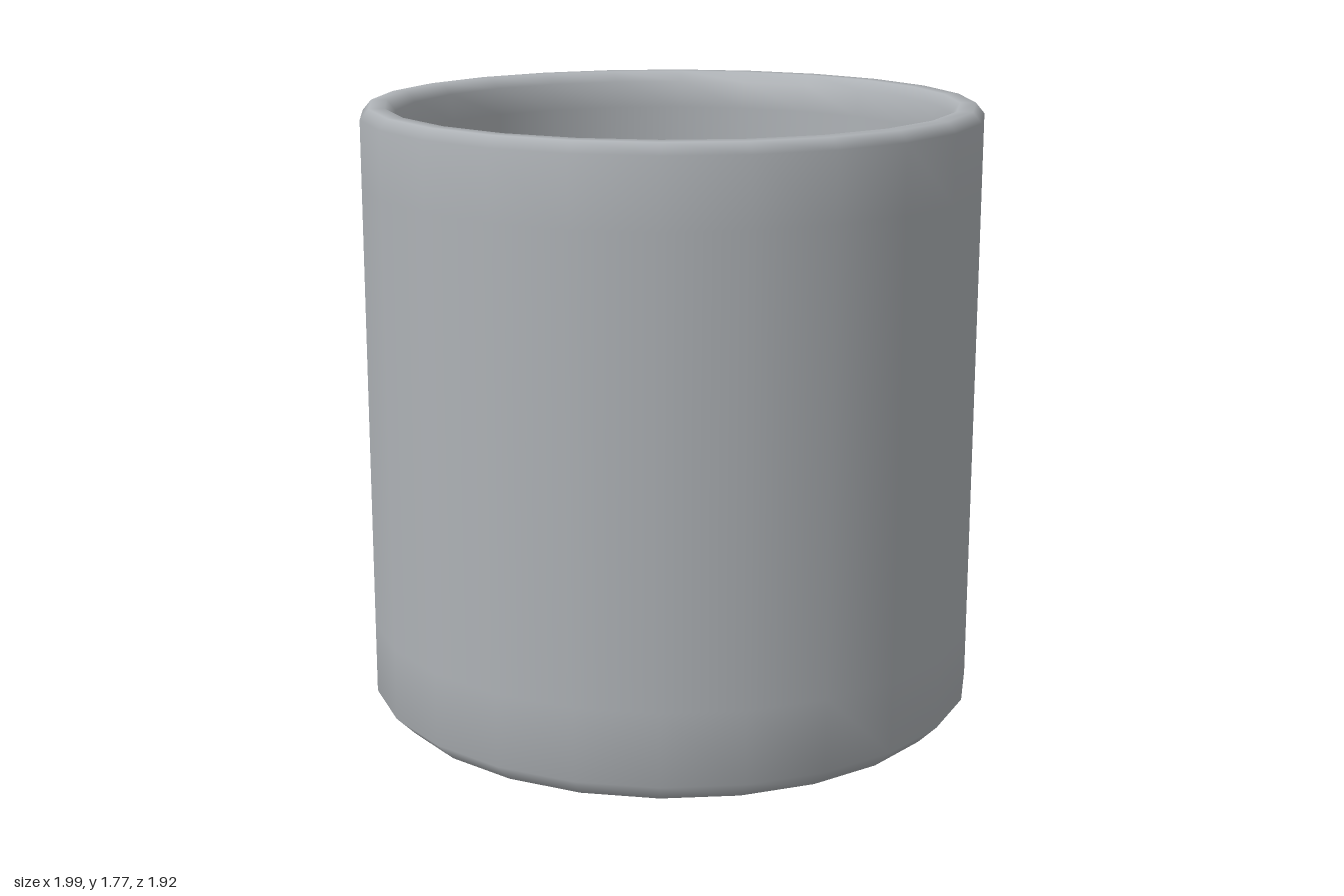
import * as THREE from 'three';

const CX = 0.115, CZ = 0.075;   // axis of the cup
const SIDES = 24, LIQUID_Y = 1.32;

function paint(name, hex, doubleSided = false) {
  const m = new THREE.MeshStandardMaterial({ color: hex });
  m.name = name;
  if (doubleSided) m.side = THREE.DoubleSide;
  return m;
}

function addPart(parent, name, geometry, material) {
  const mesh = new THREE.Mesh(geometry, material);
  mesh.name = name;
  parent.add(mesh);
  return mesh;
}

// Cup wall, rim, inside and base in one revolved profile
function cupGeometry() {
  const profile = [
    [0, 0], [0.79, 0], [0.83, 0.005], [0.885, 0.06], [0.885, 0.27], [0.885, 1.55], [0.885, 1.74],
    [0.86, 1.77], [0.815, 1.77], [0.79, 1.74], [0.78, 1.66], [0.78, 0.15], [0.74, 0.1], [0, 0.1],
  ].map(([r, y]) => new THREE.Vector2(r, y));
  return new THREE.LatheGeometry(profile, SIDES);
}

// Faceted handle: chamfered cross-sections between an outer and an inner line
function handleGeometry() {
  // outer r, outer y, inner r, inner y, half width
  const stations = [
    [0.83, 1.52, 0.83, 1.30, 0.17],
    [1.17, 1.52, 1.10, 1.31, 0.135],
    [1.30, 1.45, 1.18, 1.27, 0.145],
    [1.385, 1.31, 1.22, 1.18, 0.15],
    [1.405, 0.65, 1.22, 0.74, 0.15],
    [1.30, 0.47, 1.17, 0.62, 0.145],
    [1.16, 0.36, 1.08, 0.56, 0.135],
    [0.83, 0.345, 0.83, 0.56, 0.17],
  ];
  const section = [[0, 0.7], [0.25, 1], [0.75, 1], [1, 0.7], [1, -0.7], [0.75, -1], [0.25, -1], [0, -0.7]];
  const n = section.length, positions = [], index = [];
  stations.forEach(([ro, yo, ri, yi, w], s) => {
    section.forEach(([t, side], k) => {
      positions.push(ro + (ri - ro) * t, yo + (yi - yo) * t, w * side);
      if (s === stations.length - 1) return;
      const a = s * n + k, b = s * n + (k + 1) % n;
      index.push(a, b, b + n, a, b + n, a + n);
    });
  });
  const g = new THREE.BufferGeometry();
  g.setAttribute('position', new THREE.Float32BufferAttribute(positions, 3));
  g.setIndex(index);
  const flat = g.toNonIndexed();
  flat.computeVertexNormals();
  return flat;
}

// Flat patch with a soft outline given as x, z points
function patchGeometry(points) {
  const curve = new THREE.CatmullRomCurve3(points.map(([x, z]) => new THREE.Vector3(x, -z, 0)), true);
  const outline = curve.getPoints(points.length * 4).slice(0, -1);
  const shape = new THREE.Shape(outline.map((p) => new THREE.Vector2(p.x, p.y)));
  return new THREE.ShapeGeometry(shape).rotateX(-Math.PI / 2);
}

// Stain strip that follows the faceted inner wall; heights by angle in degrees
function stainGeometry() {
  const heights = [
    [218, 0], [226, 0.11], [240, 0.14], [260, 0.18], [283, 0.17], [327, 0.14], [345, 0.13], [360, 0.13],
    [383, 0.11], [392, 0.06], [410, 0.075], [422, 0.09], [440, 0.07], [455, 0.06], [470, 0],
  ];
  const curve = new THREE.SplineCurve(heights.map(([a, h]) => new THREE.Vector2(a, h)));
  const step = 360 / SIDES, half = THREE.MathUtils.degToRad(step / 2);
  const positions = [], index = [], count = 140;
  for (let i = 0; i <= count; i++) {
    const p = curve.getPoint(i / count);
    const a = THREE.MathUtils.degToRad(p.x);
    const r = 0.775 * Math.cos(half) / Math.cos(THREE.MathUtils.degToRad(p.x % step) - half);
    const x = r * Math.sin(a), z = r * Math.cos(a);
    positions.push(x, LIQUID_Y - 0.01, z, x, LIQUID_Y + Math.max(p.y, 0), z);
    if (i < count) index.push(2 * i, 2 * i + 1, 2 * i + 2, 2 * i + 1, 2 * i + 3, 2 * i + 2);
  }
  const g = new THREE.BufferGeometry();
  g.setAttribute('position', new THREE.Float32BufferAttribute(positions, 3));
  g.setIndex(index);
  g.computeVertexNormals();
  return g;
}

export function createModel() {
  const ceramic = paint('grey ceramic', 0xaeb2b6);
  const coffee = paint('dark coffee', 0x5c3422);
  const froth = paint('light froth', 0x896450);
  const residue = paint('coffee residue', 0x7f635d, true);

  const model = new THREE.Group();
  model.name = 'mug';

  // Cup, handle and contents share the cup's axis
  const cup = new THREE.Group();
  cup.name = 'cup';
  cup.position.set(CX, 0, CZ);
  model.add(cup);
  addPart(cup, 'cupBody', cupGeometry(), ceramic);
  const handle = addPart(cup, 'handle', handleGeometry(), ceramic);
  handle.rotation.y = Math.atan2(0.677, -0.735);
  const liquid = addPart(cup, 'liquid', new THREE.CircleGeometry(0.782, SIDES).rotateX(-Math.PI / 2), coffee);
  liquid.position.y = LIQUID_Y;
  addPart(cup, 'wallStain', stainGeometry(), residue);

  // Froth floating on the liquid
  const foam = new THREE.Group();
  foam.name = 'froth';
  foam.position.y = LIQUID_Y + 0.004;
  model.add(foam);
  addPart(foam, 'largeFroth', patchGeometry([
    [0.29, -0.46], [0.26, -0.5], [0.22, -0.47], [0.16, -0.48], [0.12, -0.46], [0.06, -0.49], [0, -0.48],
    [-0.08, -0.45], [-0.13, -0.42], [-0.21, -0.41], [-0.29, -0.37], [-0.34, -0.33], [-0.37, -0.27],
    [-0.37, -0.18], [-0.42, -0.12], [-0.44, -0.05], [-0.41, 0.02], [-0.37, 0.06], [-0.37, 0.13],
    [-0.38, 0.19], [-0.41, 0.22], [-0.39, 0.27], [-0.34, 0.28], [-0.3, 0.25], [-0.26, 0.27],
    [-0.23, 0.29], [-0.2, 0.34], [-0.17, 0.35], [-0.15, 0.31], [-0.15, 0.27], [-0.11, 0.26],
    [-0.09, 0.21], [-0.1, 0.13], [-0.13, 0.04], [-0.1, 0.02], [-0.06, -0.08], [-0.05, -0.15],
    [-0.01, -0.21], [-0.01, -0.28], [0.03, -0.33], [0.11, -0.33], [0.15, -0.36], [0.17, -0.41], [0.24, -0.43],
  ]), froth);
  addPart(foam, 'smallFroth', patchGeometry([
    [-0.19, 0.5], [-0.15, 0.46], [-0.08, 0.46], [-0.04, 0.52], [-0.01, 0.55], [0.02, 0.54],
    [0.05, 0.58], [0.02, 0.62], [-0.02, 0.61], [-0.05, 0.57], [-0.1, 0.57], [-0.16, 0.54],
  ]), froth);
  const bubble = addPart(foam, 'bubble', new THREE.CircleGeometry(0.021, 12).rotateX(-Math.PI / 2), froth);
  bubble.position.set(-0.31, 0, 0.305);

  return model;
}
